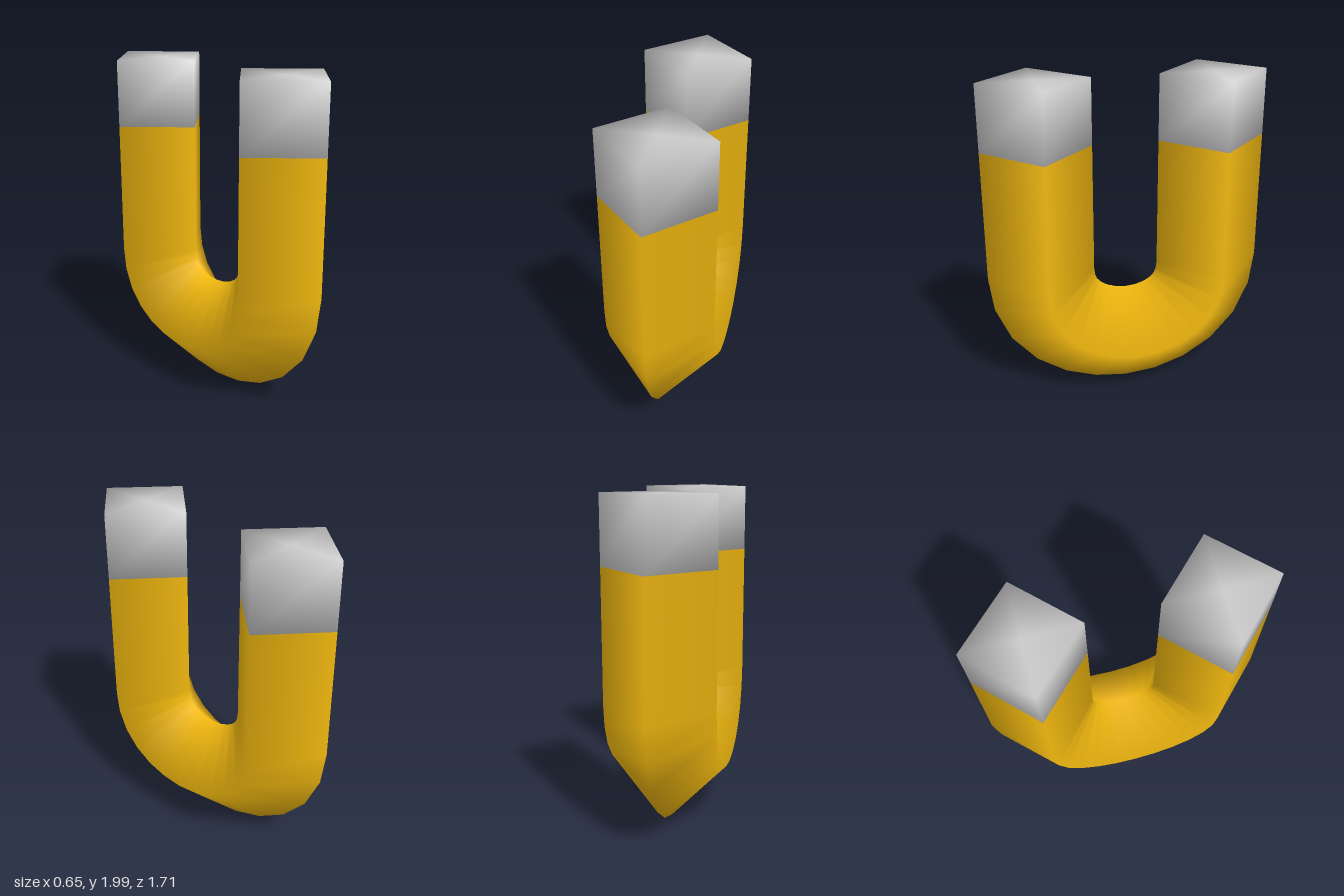
import * as THREE from 'three';
import { mergeVertices } from 'three/addons/utils/BufferGeometryUtils.js';

const RADIUS = 0.327; // half diagonal of the square bar
const LEG_Z = 0.527;
const BEND_Y = 0.81;
const TIP_Y = 1.6;
const TOP_Y = 2;
const BEND_DROP = 0.637; // depth of the bend's control points

// Share vertices across edges so the shading runs smoothly around the bar
function smooth(geometry) {
  geometry.deleteAttribute('normal');
  geometry.deleteAttribute('uv');
  const merged = mergeVertices(geometry, 1e-4);
  merged.computeVertexNormals();
  return merged;
}

export function createModel() {
  const group = new THREE.Group();
  const p = (y, z) => new THREE.Vector3(0, y, z);

  // U-shaped bar: straight leg, bend, straight leg
  const path = new THREE.CurvePath();
  path.add(new THREE.LineCurve3(p(TIP_Y, LEG_Z), p(BEND_Y, LEG_Z)));
  path.add(new THREE.CubicBezierCurve3(
    p(BEND_Y, LEG_Z), p(BEND_Y - BEND_DROP, LEG_Z),
    p(BEND_Y - BEND_DROP, -LEG_Z), p(BEND_Y, -LEG_Z)));
  path.add(new THREE.LineCurve3(p(BEND_Y, -LEG_Z), p(TIP_Y, -LEG_Z)));
  const bar = new THREE.Mesh(
    new THREE.TubeGeometry(path, 24, RADIUS, 4, false),
    new THREE.MeshStandardMaterial({ color: 0xf2b90f, side: THREE.DoubleSide }));
  bar.name = 'magnetBar';
  group.add(bar);

  // Grey pole tips on both legs
  const tipGeometry = smooth(new THREE.CylinderGeometry(RADIUS, RADIUS, TOP_Y - TIP_Y, 4));
  const tipMaterial = new THREE.MeshStandardMaterial({ color: 0xcccccc });
  for (const [name, side] of [['frontTip', 1], ['backTip', -1]]) {
    const tip = new THREE.Mesh(tipGeometry, tipMaterial);
    tip.name = name;
    tip.position.set(0, (TIP_Y + TOP_Y) / 2, side * LEG_Z);
    group.add(tip);
  }
  return group;
}
